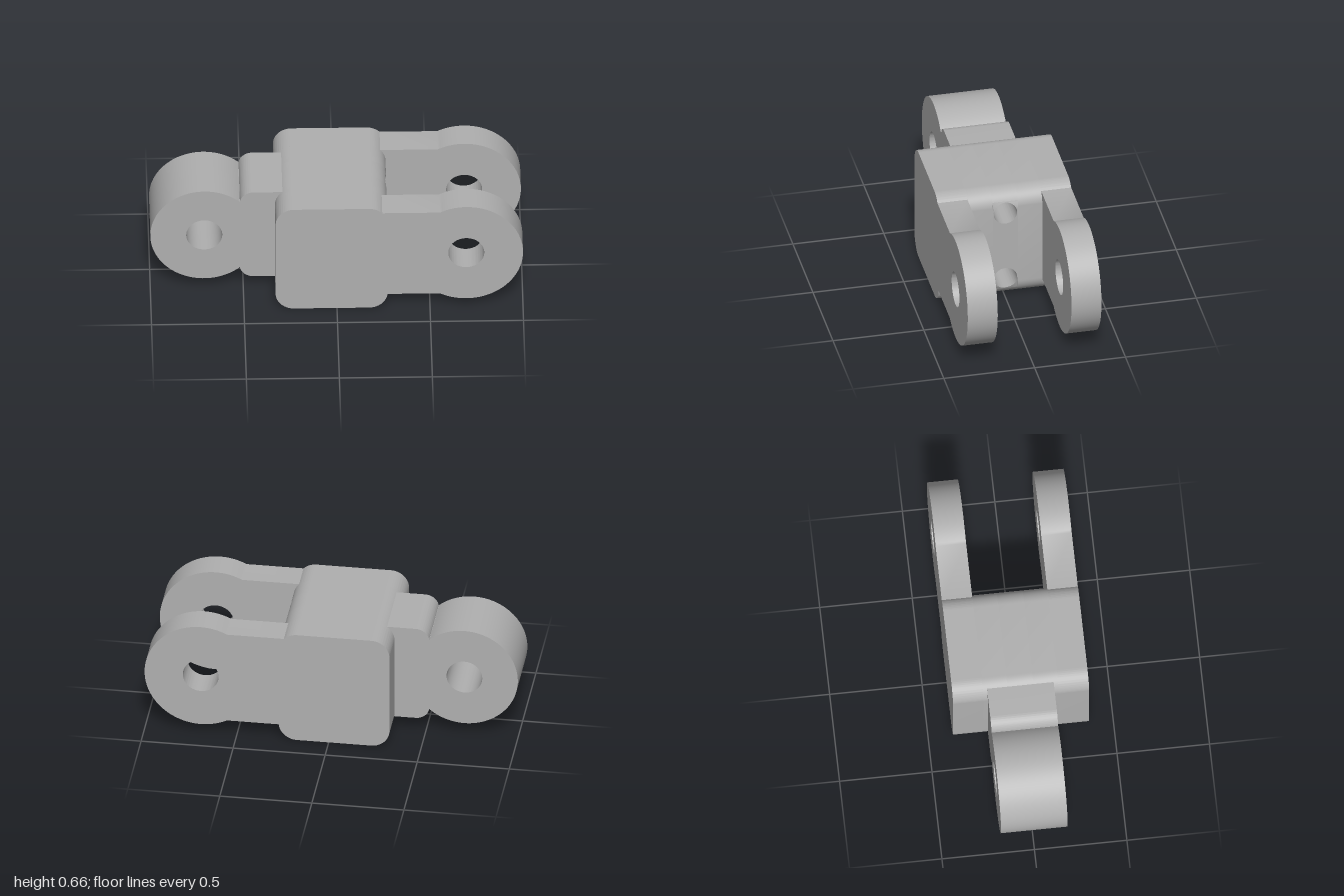
import * as THREE from 'three';
import { toCreasedNormals } from 'three/addons/utils/BufferGeometryUtils.js';

const LEFT = -0.33, RIGHT = 0.272, TOP = 0.66, R = 0.1;   // body outline
const HALF = 0.368, INNER = 0.203, CORE = 0.07;           // widths along z
const EYE_Y = 0.36, BORE = 0.097;

// How far the rounded corners pull the body ends in at height y
function inset(y) {
  const d = Math.min(R, Math.max(0, R - y, y - (TOP - R)));
  return R - Math.sqrt(R * R - d * d);
}

// Body outline between two heights
function bodySlice(y0, y1) {
  const ys = [y0, y1];
  for (let i = 0; i <= 16; i++) {
    const s = R * (1 - Math.cos(i / 16 * Math.PI / 2));
    for (const y of [s, TOP - s]) if (y > y0 + 1e-4 && y < y1 - 1e-4) ys.push(y);
  }
  ys.sort((a, b) => a - b);
  return new THREE.Shape([
    ...ys.map(y => new THREE.Vector2(RIGHT - inset(y), y)),
    ...ys.reverse().map(y => new THREE.Vector2(LEFT + inset(y), y)),
  ]);
}

function bore(shape, x, y, r) {
  const hole = new THREE.Path();
  hole.absarc(x, y, r, 0, Math.PI * 2, true);
  shape.holes.push(hole);
}

function extrude(shape, depth) {
  return new THREE.ExtrudeGeometry(shape, { depth, bevelEnabled: false, curveSegments: 40 });
}

export function createModel() {
  const group = new THREE.Group();
  const steel = new THREE.MeshStandardMaterial({ color: 0xb0b0b0 });
  steel.name = 'steel grey';

  function add(name, geometry) {
    const mesh = new THREE.Mesh(toCreasedNormals(geometry, 0.5), steel);
    mesh.name = name;
    group.add(mesh);
  }
  function plate(name, shape, z0, z1) {
    add(name, extrude(shape, z1 - z0).translate(0, 0, z0));
  }

  // Fork side plates: body cheek, arm and round eye in one outline
  const cx = RIGHT - R, eyeX = 0.695, eyeR = 0.305, armLow = 0.09, armHigh = 0.63;
  const a = Math.PI - Math.asin((armHigh - EYE_Y) / eyeR);
  const cheek = new THREE.Shape();
  cheek.moveTo(LEFT + R, 0);
  cheek.absarc(cx, R, R, -Math.PI / 2, Math.asin((armLow - R) / R), false);
  cheek.absarc(eyeX, EYE_Y, eyeR, -a, a, false);
  cheek.absarc(cx, TOP - R, R, Math.asin((armHigh - TOP + R) / R), Math.PI / 2, false);
  cheek.absarc(LEFT + R, TOP - R, R, Math.PI / 2, Math.PI, false);
  cheek.absarc(LEFT + R, R, R, Math.PI, Math.PI * 1.5, false);
  bore(cheek, eyeX, EYE_Y, BORE);
  plate('forkFront', cheek, INNER, HALF);
  plate('forkBack', cheek, -HALF, -INNER);

  // Solid body on both sides of the drilled core
  plate('bodyFront', bodySlice(0, TOP), CORE, INNER);
  plate('bodyBack', bodySlice(0, TOP), -INNER, -CORE);

  // Core: solid bands with two lengthwise drilled blocks between them
  const drills = [0.122, 0.533];
  const bands = [[0, drills[0] - CORE], [drills[0] + CORE, drills[1] - CORE], [drills[1] + CORE, TOP]];
  bands.forEach(([y0, y1]) => plate('bodyCore', bodySlice(y0, y1), -CORE, CORE));
  for (const y of drills) {
    const points = [];
    const n = 14;
    for (let i = 0; i <= n; i++) points.push(new THREE.Vector2(CORE, y - CORE + 2 * CORE * i / n));
    for (let i = n; i >= 0; i--) points.push(new THREE.Vector2(-CORE, y - CORE + 2 * CORE * i / n));
    const block = new THREE.Shape(points);
    bore(block, 0, y, 0.064);
    const geometry = extrude(block, 1).rotateY(Math.PI / 2);
    // Bend both ends to follow the rounded body outline
    const p = geometry.attributes.position;
    for (let i = 0; i < p.count; i++) {
      const k = inset(p.getY(i));
      p.setX(i, p.getX(i) < 0.5 ? LEFT + k : RIGHT - k);
    }
    add('drilledCore', geometry);
  }

  // Tongue with its round eye
  const linkX = -0.71, linkR = 0.29, c = 0.075, edge = -0.52, low = 0.08, high = 0.64, end = -0.28;
  const b = Math.acos((edge - linkX) / linkR);
  const meet = Math.asin((EYE_Y + linkR * Math.sin(b) - (high - c)) / c);
  const link = new THREE.Shape();
  link.moveTo(end, low);
  link.lineTo(end, high);
  link.absarc(edge + c, high - c, c, Math.PI / 2, Math.PI - meet, false);
  link.absarc(linkX, EYE_Y, linkR, b, Math.PI * 2 - b, false);
  link.absarc(edge + c, low + c, c, Math.PI + meet, Math.PI * 1.5, false);
  bore(link, linkX, EYE_Y, BORE);
  plate('tongue', link, -0.18, 0.18);

  return group;
}
